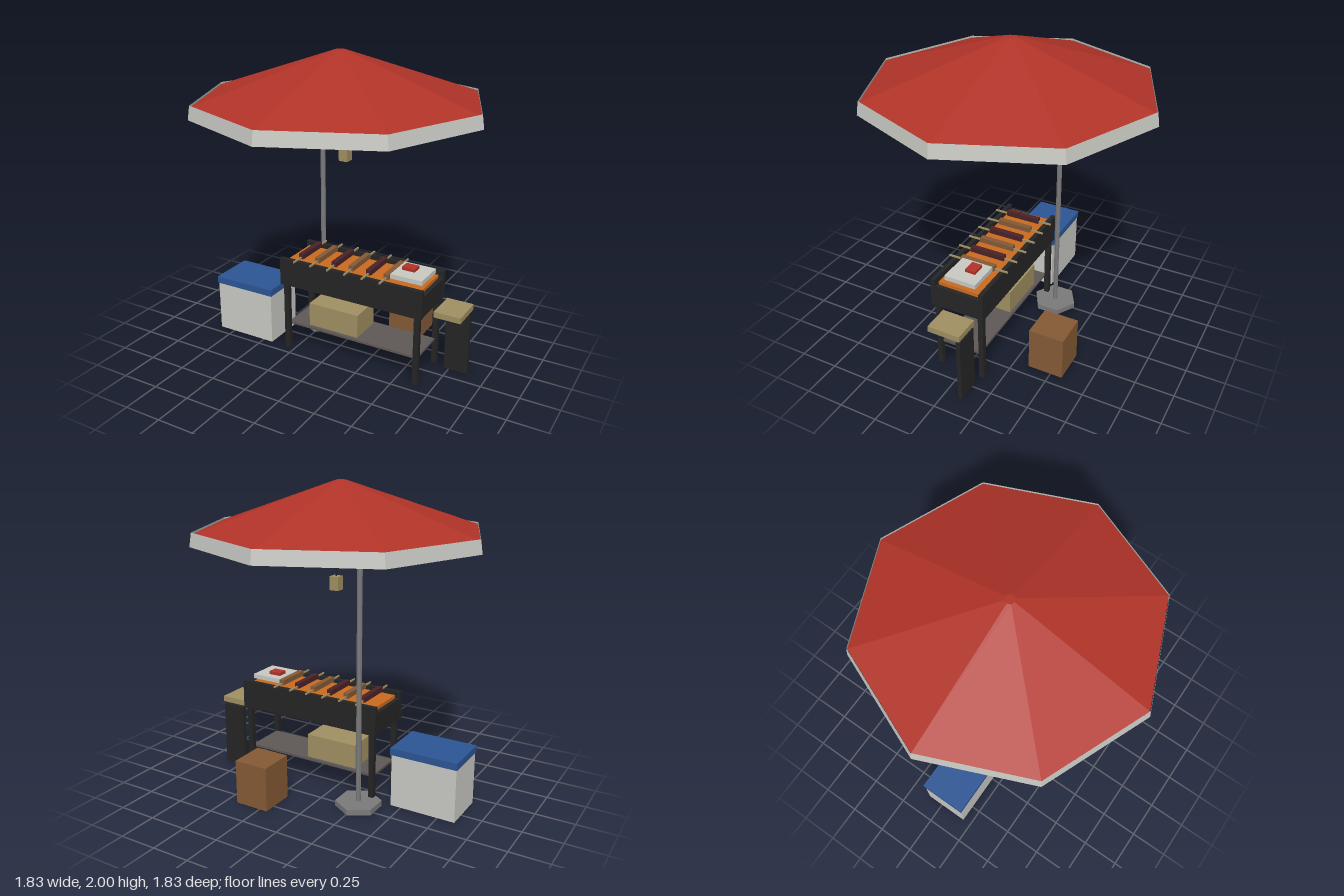
import * as THREE from 'three';

const mat = (name, color, extra = {}) => {
  const m = new THREE.MeshStandardMaterial({ color, ...extra });
  m.name = name;
  return m;
};

export function createModel() {
  const red = mat('red', 0xb03328, { flatShading: true });
  const white = mat('offWhite', 0xc9c9c4, { flatShading: true, side: THREE.DoubleSide });
  const blue = mat('blue', 0x2c5595);
  const black = mat('black', 0x252525);
  const metal = mat('metal', 0x7a7a7a, { flatShading: true });
  const tan = mat('tan', 0xa08f62);
  const brown = mat('brown', 0x855a35);
  const ember = mat('ember', 0xc96a20);
  const shelfGrey = mat('shelfGrey', 0x5e5855);
  const meat = mat('darkMeat', 0x4a2226);

  const model = new THREE.Group();
  model.name = 'grillStand';

  const add = (name, geometry, material, x = 0, y = 0, z = 0) => {
    const mesh = new THREE.Mesh(geometry, material);
    mesh.name = name;
    mesh.position.set(x, y, z);
    model.add(mesh);
    return mesh;
  };
  // Box given by its limits on each axis
  const box = (name, material, [x0, x1], [y0, y1], [z0, z1]) =>
    add(name, new THREE.BoxGeometry(x1 - x0, y1 - y0, z1 - z0), material,
      (x0 + x1) / 2, (y0 + y1) / 2, (z0 + z1) / 2);

  // Parasol: eight-sided canopy with a hanging rim
  add('canopy', new THREE.CylinderGeometry(0.03, 0.9, 0.297, 8), red, 0, 1.8515, 0);
  add('canopyRim', new THREE.CylinderGeometry(0.902, 0.915, 0.085, 8, 1, true), white, 0, 1.6725, 0);

  // Pole, hexagonal foot and the arm that reaches the lamp
  const poleX = -0.257, poleZ = -0.217, lampX = 0.035;
  add('poleFoot', new THREE.CylinderGeometry(0.147, 0.147, 0.037, 6), metal, poleX, 0.0185, poleZ);
  add('pole', new THREE.CylinderGeometry(0.017, 0.017, 1.66, 8), metal, poleX, 0.865, poleZ);
  const arm = add('poleArm',
    new THREE.BoxGeometry(0.022, 0.022, Math.hypot(lampX - poleX, poleZ)), metal,
    (poleX + lampX) / 2, 1.66, poleZ / 2);
  arm.rotation.y = Math.atan2(lampX - poleX, -poleZ);

  // Hanging lamp
  box('lampCord', black, [0.031, 0.039], [1.4, 1.69], [-0.004, 0.004]);
  box('lamp', tan, [0.005, 0.065], [1.32, 1.408], [-0.03, 0.03]);

  // Grill trough with taller front and back walls
  box('grillTrough', black, [-0.338, 0.668], [0.47, 0.61], [-0.135, 0.175]);
  box('grillFrontWall', black, [-0.34, 0.67], [0.468, 0.655], [0.172, 0.2]);
  box('grillBackWall', black, [-0.34, 0.67], [0.468, 0.655], [-0.16, -0.132]);
  box('coals', ember, [-0.31, 0.64], [0.605, 0.633], [-0.115, 0.16]);
  for (const x of [-0.305, 0.634])
    for (const z of [-0.13, 0.17])
      box('grillLeg', black, [x - 0.017, x + 0.017], [0, 0.48], [z - 0.017, z + 0.017]);
  box('shelf', shelfGrey, [-0.305, 0.634], [0.165, 0.181], [-0.115, 0.155]);

  // Skewers with alternating food
  for (let i = 0; i < 6; i++) {
    const x = -0.215 + i * 0.123;
    box('skewerStick', tan, [x - 0.005, x + 0.005], [0.655, 0.665], [-0.185, 0.23]);
    box('skewerFood', i % 2 ? brown : meat, [x - 0.017, x + 0.017], [0.65, 0.684], [-0.097, 0.138]);
  }

  // Tray with a red block on top
  box('tray', white, [0.42, 0.633], [0.655, 0.685], [-0.09, 0.122]);
  box('trayBlock', red, [0.455, 0.542], [0.685, 0.705], [-0.038, 0.03]);

  // Side table
  box('sideTableTop', tan, [0.705, 0.88], [0.45, 0.488], [-0.12, 0.095]);
  box('sideTablePanel', black, [0.715, 0.873], [0, 0.435], [-0.12, -0.092]);

  // Cooler and boxes
  box('coolerBody', white, [-0.863, -0.43], [0, 0.35], [-0.108, 0.19]);
  box('coolerLid', blue, [-0.868, -0.423], [0.348, 0.394], [-0.115, 0.197]);
  box('shelfBox', tan, [-0.16, 0.2], [0.181, 0.34], [-0.095, 0.132]);
  box('crate', brown, [0.195, 0.425], [0, 0.29], [-0.578, -0.347]);

  return model;
}
